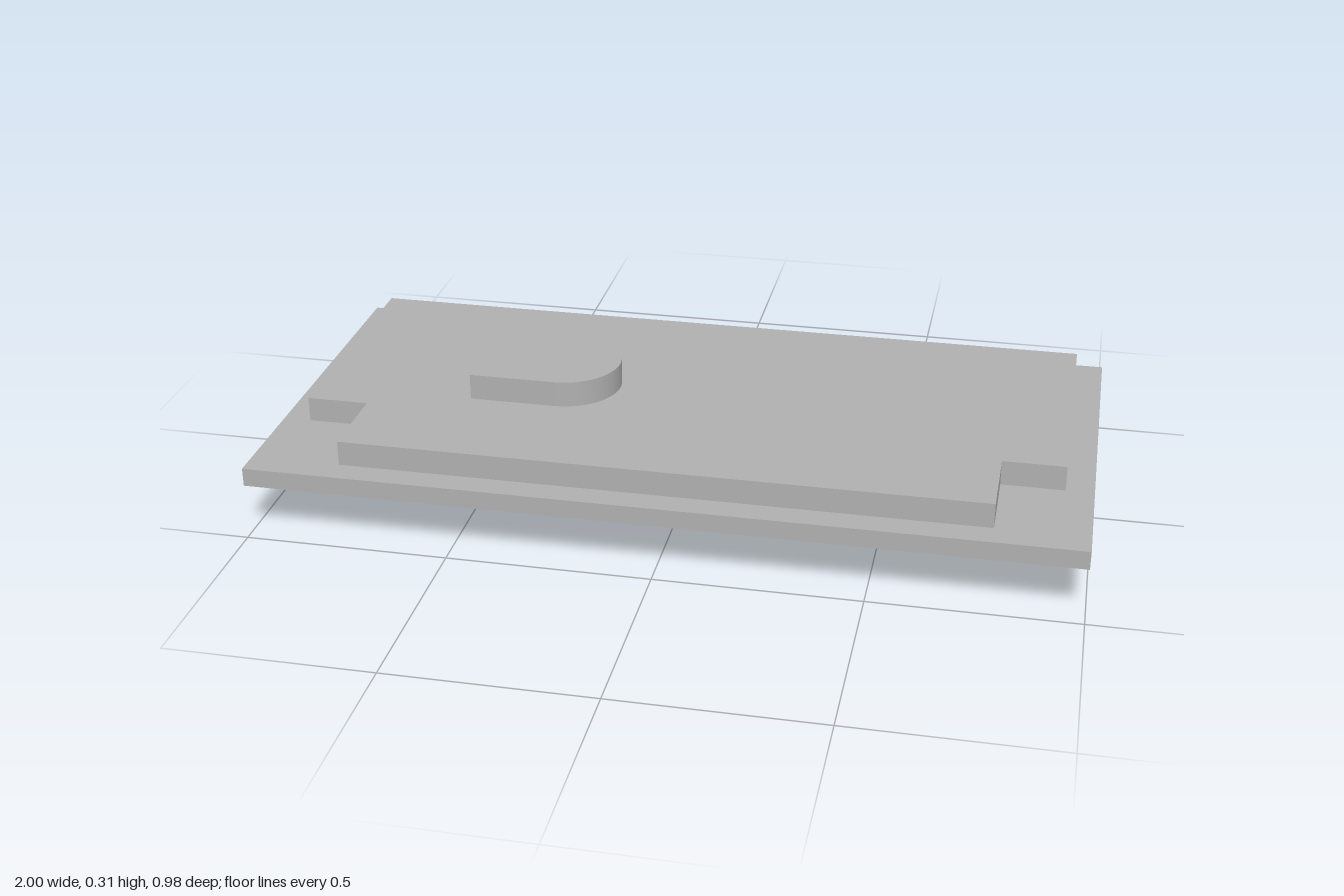
import * as THREE from 'three';
import { toCreasedNormals } from 'three/addons/utils/BufferGeometryUtils.js';

export function createModel() {
  const group = new THREE.Group();
  const grey = new THREE.MeshStandardMaterial({ color: 0xb0b0b0 });
  grey.name = 'plain grey';

  // Extrude a plan outline (drawn with x right, -z up) from height y0 to y1
  function slab(name, shape, y0, y1) {
    const extruded = new THREE.ExtrudeGeometry(shape, {
      depth: y1 - y0, bevelEnabled: false, curveSegments: 32,
    });
    extruded.rotateX(-Math.PI / 2).translate(0, y0, 0);
    const mesh = new THREE.Mesh(toCreasedNormals(extruded, Math.PI / 6), grey);
    mesh.name = name;
    group.add(mesh);
  }
  const outline = (points) => new THREE.Shape(points.map(([x, z]) => new THREE.Vector2(x, -z)));

  // Rectangular base plate
  slab('basePlate', outline([[-1, 0.49], [1, 0.49], [1, -0.49], [-1, -0.49]]), 0.137, 0.183);

  // Raised panel with a notch in each front corner
  const half = [[0.78, 0.425], [0.78, 0.213], [0.932, 0.213], [0.932, -0.425]];
  const mirrored = half.map(([x, z]) => [-x, z]).reverse();
  slab('raisedPanel', outline([...half, ...mirrored]), 0.183, 0.245);

  // D-shaped peg, through both plates
  const r = 0.137, cx = -0.322, flatX = -0.535;
  const peg = new THREE.Shape();
  peg.moveTo(flatX, -r);
  peg.lineTo(cx, -r);
  peg.absarc(cx, 0, r, -Math.PI / 2, Math.PI / 2, false);
  peg.lineTo(flatX, r);
  peg.closePath();
  slab('peg', peg, 0, 0.31);

  return group;
}
